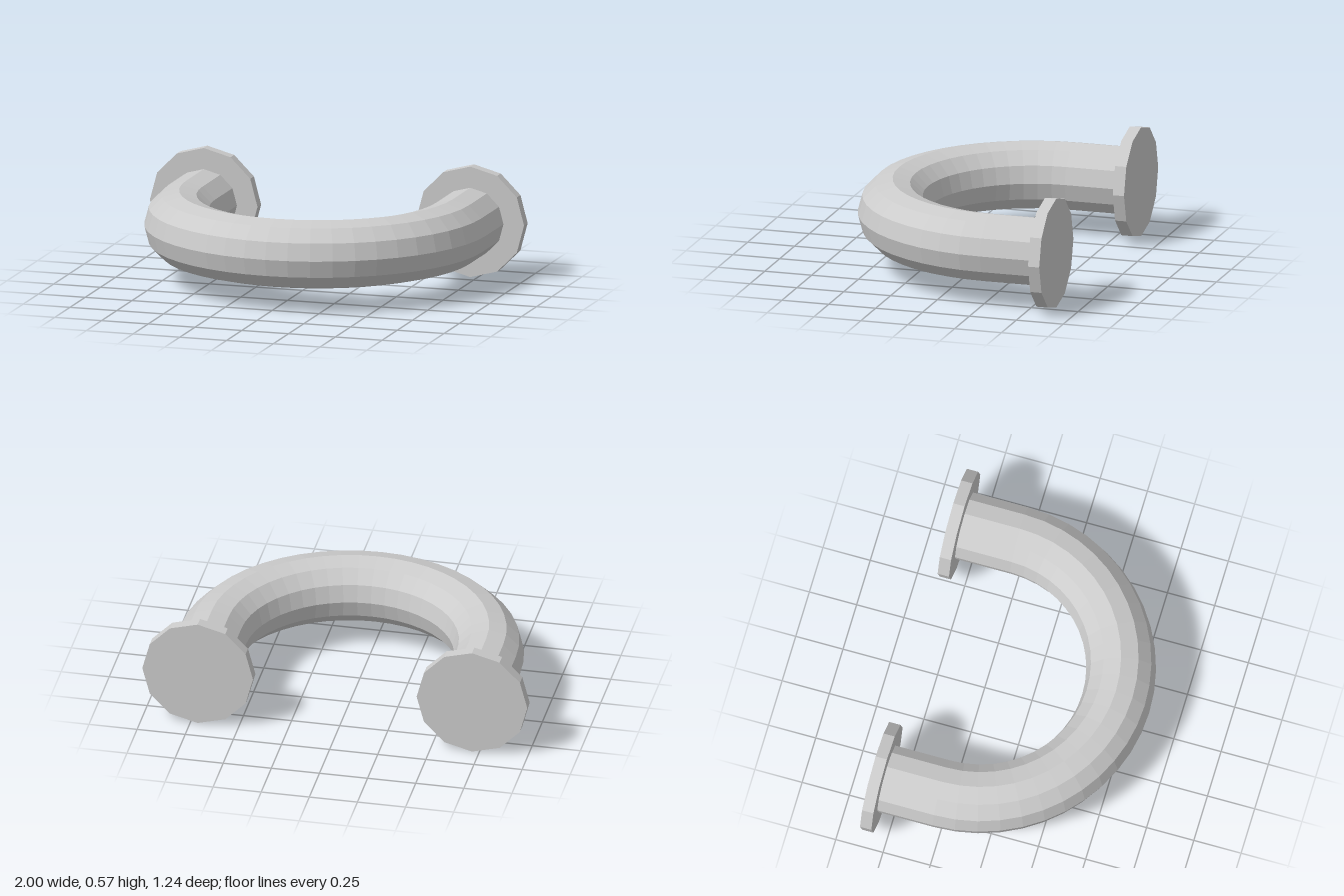
import * as THREE from 'three';

const SIDES = 12;
const PIPE_R = 0.1775, BEND_R = 0.7125, FLANGE_R = 0.2875;
const CENTRE_Y = FLANGE_R + 0.003;
const BEND_Z = -0.27, FLANGE_FRONT = -0.562, FLANGE_BACK = -0.622;

export function createModel() {
  const model = new THREE.Group();
  model.name = 'pipeBend';
  const material = new THREE.MeshStandardMaterial({ color: 0xcccccc, flatShading: true });

  const add = (name, geometry, x, z) => {
    const mesh = new THREE.Mesh(geometry, material);
    mesh.name = name;
    mesh.position.set(x, CENTRE_Y, z);
    model.add(mesh);
  };

  // Cylinder lying along z between two depths
  const addDisc = (name, radius, x, z0, z1, open) => {
    const geometry = new THREE.CylinderGeometry(radius, radius, z1 - z0, SIDES, 1, open);
    add(name, geometry.rotateX(Math.PI / 2), x, (z0 + z1) / 2);
  };

  // Half-circle bend, bulging to the front
  const bend = new THREE.TorusGeometry(BEND_R, PIPE_R, SIDES, 24, Math.PI);
  add('bend', bend.rotateX(Math.PI / 2), 0, BEND_Z);

  // Straight pipe and end flange on each side
  for (const [side, sign] of [['left', 1], ['right', -1]]) {
    addDisc(side + 'Pipe', PIPE_R, sign * BEND_R, FLANGE_FRONT, BEND_Z, true);
    addDisc(side + 'Flange', FLANGE_R, sign * BEND_R, FLANGE_BACK, FLANGE_FRONT, false);
  }

  return model;
}
